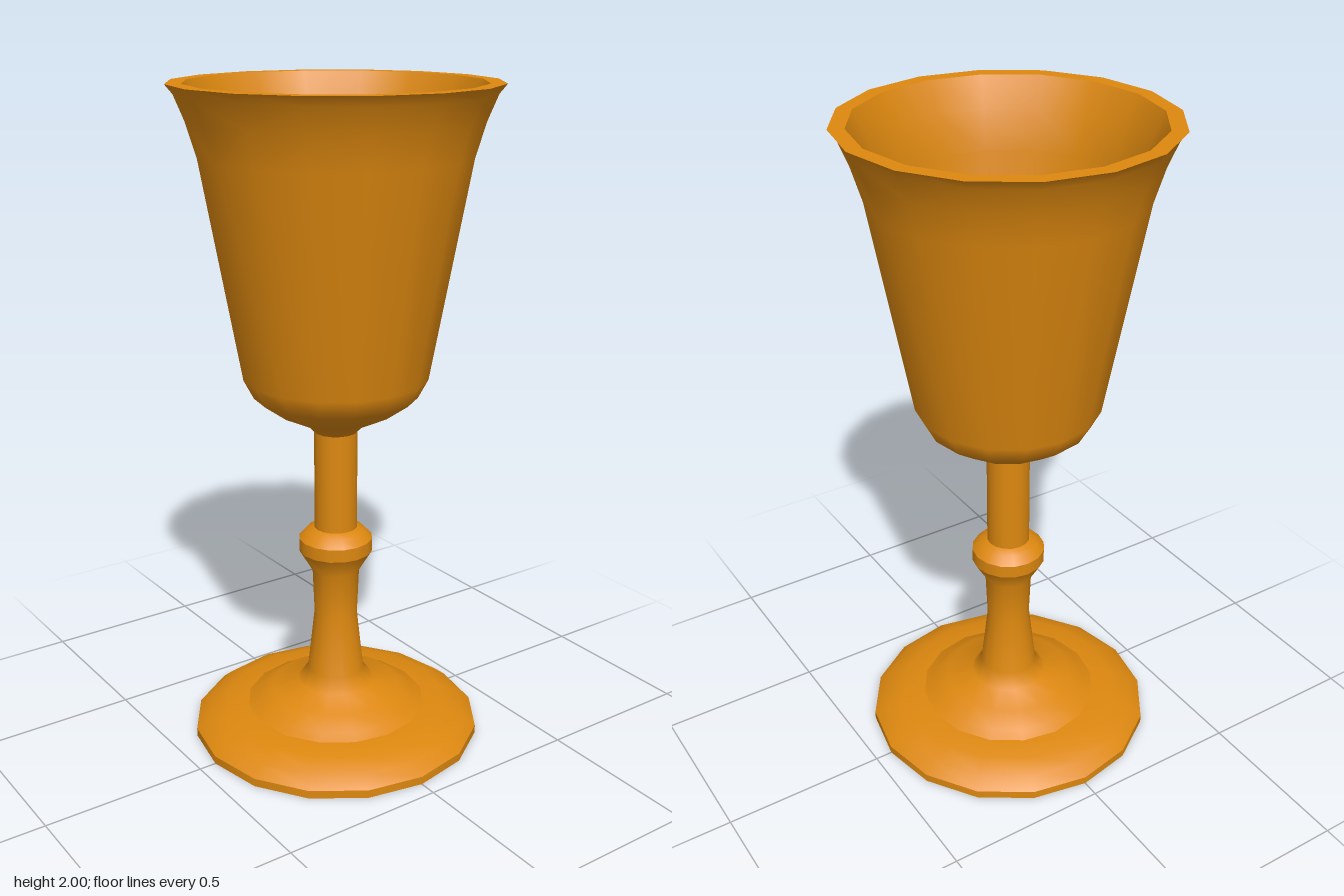
import * as THREE from 'three';

const SIDES = 16;

export function createModel() {
  const model = new THREE.Group();
  model.name = 'goblet';

  const gold = new THREE.MeshStandardMaterial({ color: 0xdd880f });
  gold.name = 'amber gold';

  // Each section is smooth in itself; edges between sections stay sharp.
  // Profiles run up the outside, over the rim and down the inside.
  const sections = {
    footBase: [[0, 0], [0.447, 0]],
    footEdge: [[0.447, 0], [0.447, 0.025]],
    footRim: [[0.447, 0.025], [0.41, 0.055], [0.35, 0.078], [0.28, 0.085]],
    footDomeAndLowerStem: [
      [0.28, 0.085], [0.25, 0.102], [0.2, 0.135], [0.12, 0.157], [0.088, 0.2],
      [0.067, 0.39], [0.073, 0.535], [0.113, 0.602],
    ],
    knopBand: [[0.113, 0.602], [0.113, 0.642]],
    knopTop: [[0.113, 0.642], [0.09, 0.667], [0.066, 0.677]],
    upperStem: [[0.066, 0.677], [0.066, 0.985]],
    bowlOutside: [
      [0.066, 0.985], [0.088, 1.008], [0.175, 1.05], [0.245, 1.1], [0.275, 1.157],
      [0.39, 1.8], [0.42, 1.9], [0.45, 1.973], [0.472, 2],
    ],
    bowlRim: [[0.472, 2], [0.426, 2]],
    bowlInside: [
      [0.426, 2], [0.385, 1.91], [0.355, 1.8], [0.243, 1.17], [0.215, 1.123],
      [0.15, 1.08], [0.06, 1.045], [0, 1.04],
    ],
  };

  for (const [name, profile] of Object.entries(sections)) {
    const points = profile.map(([r, y]) => new THREE.Vector2(r, y));
    const mesh = new THREE.Mesh(new THREE.LatheGeometry(points, SIDES), gold);
    mesh.name = name;
    model.add(mesh);
  }

  return model;
}
